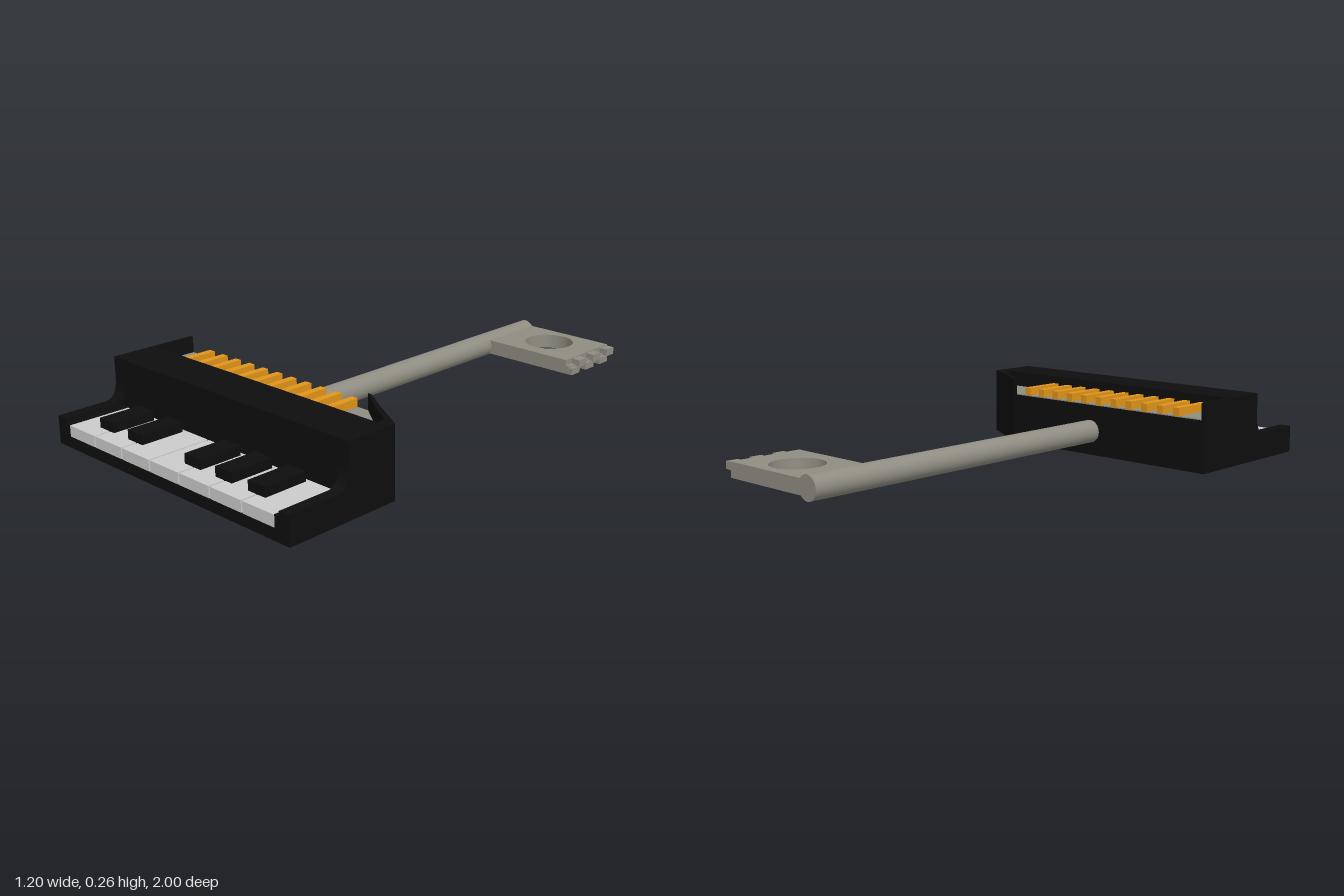
import * as THREE from 'three';

const black = new THREE.MeshStandardMaterial({ color: 0x0e0e0e });
const metal = new THREE.MeshStandardMaterial({ color: 0x8f8d82 });
const ivory = new THREE.MeshStandardMaterial({ color: 0xcccccc });
const brass = new THREE.MeshStandardMaterial({ color: 0xe0941a });

export function createModel() {
  const model = new THREE.Group();

  const add = (name, geometry, material) => {
    const mesh = new THREE.Mesh(geometry, material);
    mesh.name = name;
    model.add(mesh);
    return mesh;
  };
  // box given by its limits
  const box = (name, material, x0, x1, y0, y1, z0, z1) =>
    add(name, new THREE.BoxGeometry(x1 - x0, y1 - y0, z1 - z0), material)
      .position.set((x0 + x1) / 2, (y0 + y1) / 2, (z0 + z1) / 2);
  // plan outline of [x, z] points raised from y0 to y1
  const plan = (name, material, points, y0, y1, hole) => {
    const shape = new THREE.Shape(points.map(([x, z]) => new THREE.Vector2(x, -z)));
    if (hole) shape.holes.push(hole);
    const g = new THREE.ExtrudeGeometry(shape, { depth: y1 - y0, bevelEnabled: false, curveSegments: 24 });
    g.rotateX(-Math.PI / 2).translate(0, y0, 0);
    return add(name, g, material);
  };

  // Case: bed, rear block with a cut corner, rims and lid
  const top = 0.265, floor = 0.2;
  const corner = [[0.6, 0.545], [0.45, 0.458], [0.36, 0.4]];
  box('keyBed', black, -0.6, 0.6, 0, 0.042, 0.75, 1);
  plan('rearBlock', black, [[-0.6, 0.75], [0.6, 0.75], ...corner, [-0.6, 0.4]], 0, floor);
  box('lid', black, -0.6, 0.6, floor, top, 0.575, 0.75);
  box('straightRim', black, -0.6, -0.584, floor, top, 0.4, 0.575);
  plan('cutCornerRim', black,
    [[0.6, 0.575], ...corner, [0.343, 0.4], [0.44, 0.472], [0.55, 0.54], [0.55, 0.575]], floor, top);

  // Soundboard and strings
  plan('soundboard', metal,
    [[-0.584, 0.575], [0.55, 0.575], [0.55, 0.54], [0.44, 0.472], [0.343, 0.4], [-0.584, 0.4]], floor, floor + 0.004);
  for (let i = 0; i < 11; i++) {
    const x = -0.47 + i * 0.075;
    box('string', brass, x - 0.014, x + 0.014, floor, 0.235, 0.4, 0.575);
  }

  // Cheeks with a concave rise to the lid
  for (const side of [-1, 1]) {
    const s = new THREE.Shape();
    s.moveTo(-1, 0.042);
    s.lineTo(-0.75, 0.042);
    s.lineTo(-0.75, 0.175);
    s.quadraticCurveTo(-0.755, 0.105, -0.8, 0.105);
    s.lineTo(-1, 0.105);
    const g = new THREE.ExtrudeGeometry(s, { depth: 0.045, bevelEnabled: false, curveSegments: 10 });
    g.rotateY(Math.PI / 2).translate(side > 0 ? 0.555 : -0.6, 0, 0);
    add('cheek', g, black);
    const inner = side * 0.545;
    box('keyBlock', black, inner - 0.0105, inner + 0.0105, 0.042, 0.088, 0.75, 1);
  }

  // Keys
  box('keyGapBacking', black, -0.54, 0.54, 0.042, 0.075, 0.75, 0.985);
  for (let i = 0; i < 7; i++) {
    const x = (i - 3) * 0.1535;
    box('whiteKey', ivory, x - 0.0735, x + 0.0735, 0.042, 0.084, 0.75, 0.998);
  }
  for (const x of [-0.4, -0.238, 0.07, 0.225, 0.382])
    box('blackKey', black, x - 0.04, x + 0.04, 0.08, 0.12, 0.765, 0.935);

  // Shaft
  const shaft = new THREE.CylinderGeometry(0.045, 0.045, 1.4, 32);
  shaft.rotateX(Math.PI / 2);
  add('shaft', shaft, metal).position.set(-0.055, 0.095, -0.3);

  // Bit plate with a round hole
  const hole = new THREE.Path();
  hole.absarc(0.17, 0.865, 0.098, 0, Math.PI * 2, true);
  plan('bitPlate', metal, [[-0.055, -0.71], [0.365, -0.71], [0.365, -1], [-0.055, -1]], 0.065, 0.122, hole);

  // Notched edge: long teeth above, shorter teeth staggered below
  box('toothRib', metal, 0.36, 0.38, 0.082, 0.098, -0.99, -0.71);
  for (let i = 0; i < 3; i++) {
    const z = -0.995 + i * 0.097;
    box('upperTooth', metal, 0.36, 0.4, 0.09, 0.118, z, z + 0.048);
    box('lowerTooth', metal, 0.36, 0.395, 0.065, 0.092, z + 0.035, z + 0.09);
  }
  return model;
}
